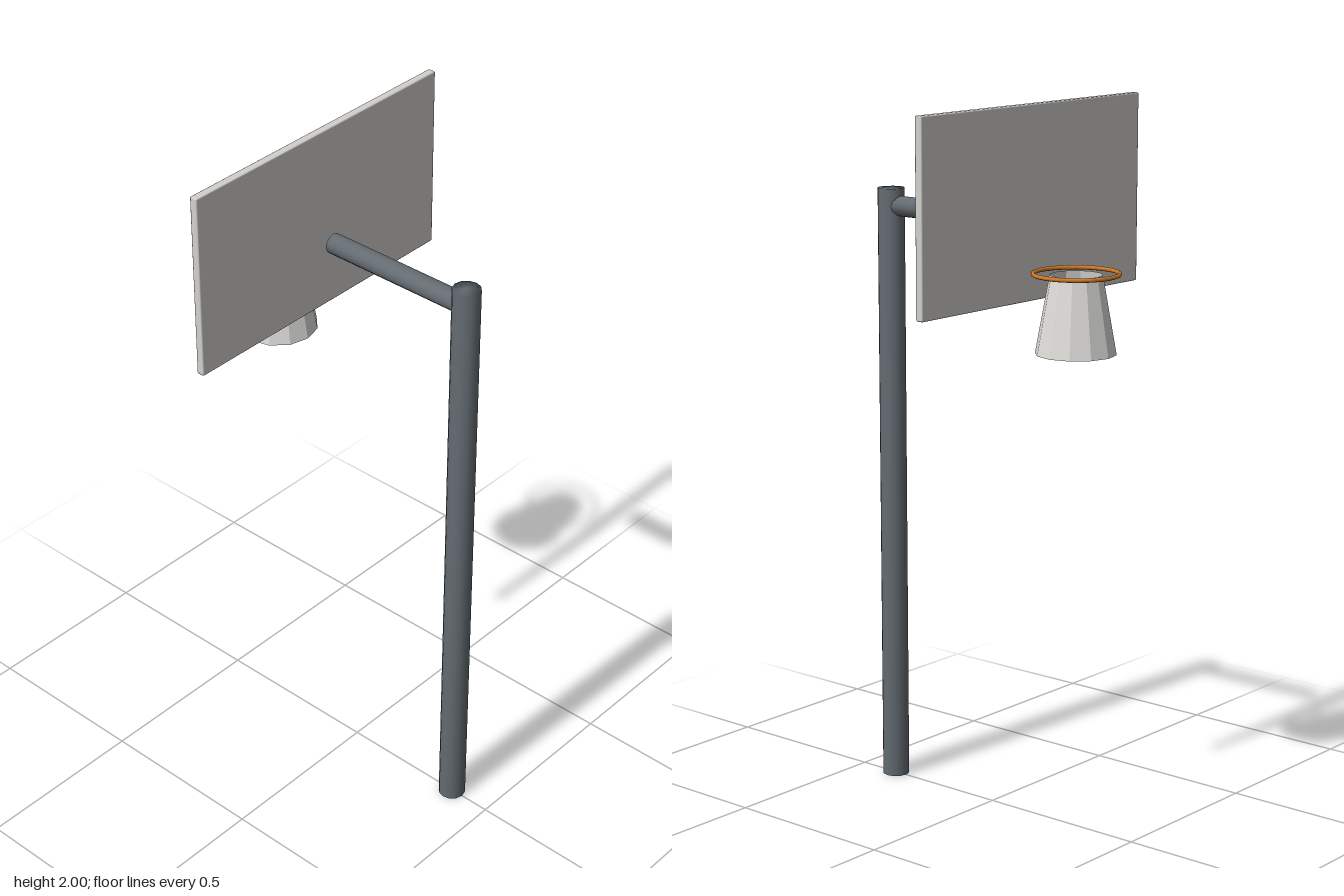
import * as THREE from 'three';
import { mergeVertices } from 'three/addons/utils/BufferGeometryUtils.js';
import { RoundedBoxGeometry } from 'three/addons/geometries/RoundedBoxGeometry.js';

const material = (name, color, extra = {}) => {
  const m = new THREE.MeshStandardMaterial({ color, ...extra });
  m.name = name;
  return m;
};

// Weld all corners so the shading runs smoothly over every edge
function weld(geometry) {
  geometry.deleteAttribute('normal');
  geometry.deleteAttribute('uv');
  geometry.clearGroups();
  const welded = mergeVertices(geometry, 1e-4);
  welded.computeVertexNormals();
  return welded;
}

export function createModel() {
  const model = new THREE.Group();
  model.name = 'basketballHoop';
  const steel = material('steelGrey', 0x646c72);
  const white = material('boardWhite', 0xd2d1cd);
  const orange = material('rimOrange', 0xcf7a28);
  const netWhite = material('netWhite', 0xdcdbd8, { flatShading: true, side: THREE.DoubleSide });

  const add = (name, geometry, mat, x, y, z) => {
    const mesh = new THREE.Mesh(geometry, mat);
    mesh.name = name;
    mesh.position.set(x, y, z);
    model.add(mesh);
    return mesh;
  };

  // Upright post and the arm reaching toward the board
  add('post', weld(new THREE.CylinderGeometry(0.039, 0.039, 1.735, 12)), steel, 0, 0.8675, 0.373);
  const arm = add('arm', weld(new THREE.CylinderGeometry(0.029, 0.029, 0.445, 12)), steel, 0, 1.685, 0.1375);
  arm.rotation.x = Math.PI / 2;

  // Backboard with a fine bevel
  add('backboard', weld(new RoundedBoxGeometry(0.914, 0.53, 0.023, 1, 0.004)), white, 0, 1.735, -0.1385);

  // Rim ring and the open net, narrow at the top
  const rim = add('rim', new THREE.TorusGeometry(0.116, 0.006, 8, 40), orange, 0, 1.557, -0.293);
  rim.rotation.x = Math.PI / 2;
  add('net', new THREE.CylinderGeometry(0.072, 0.111, 0.215, 12, 1, true), netWhite, 0, 1.4475, -0.293);

  return model;
}
